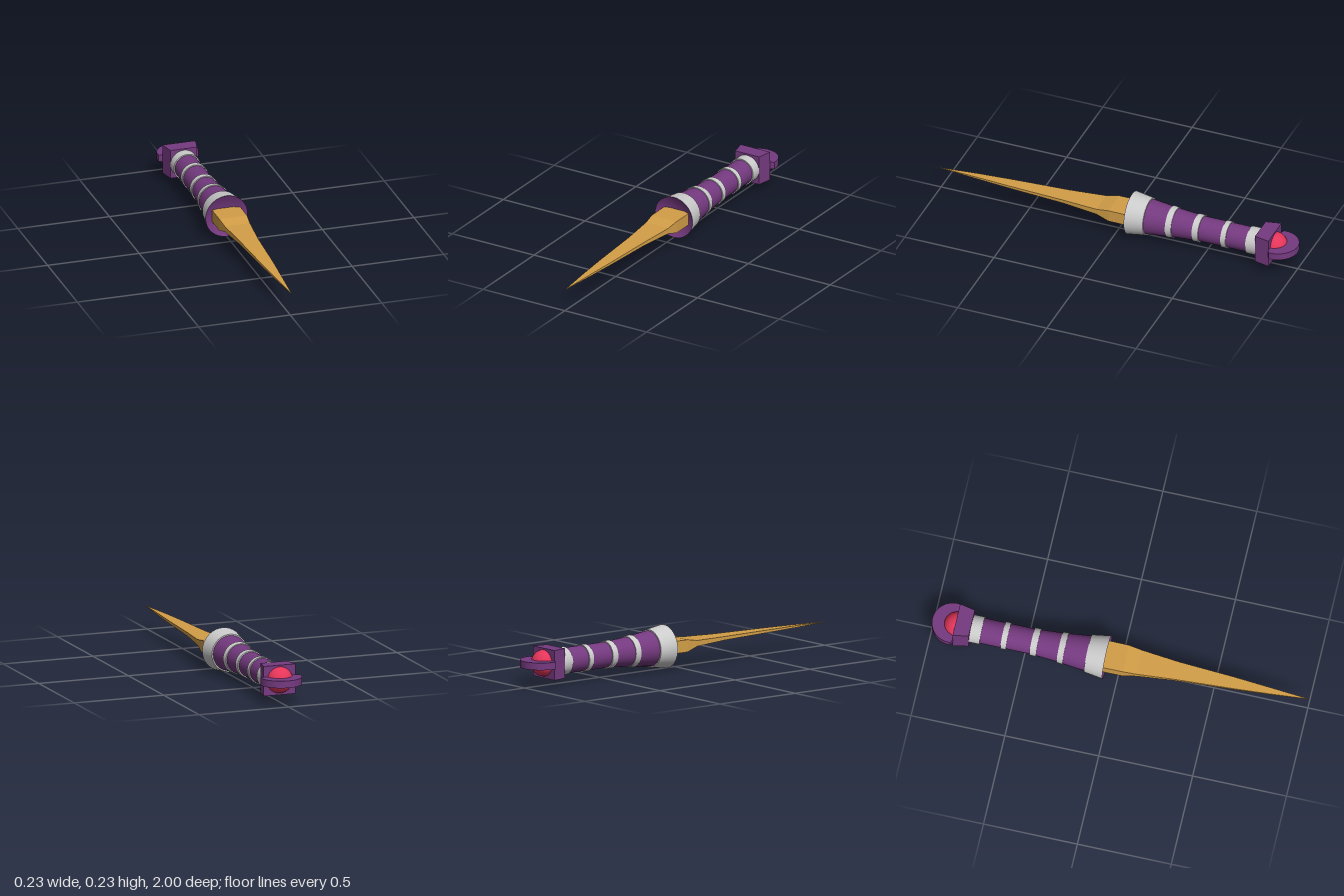
import * as THREE from 'three';
import { toCreasedNormals } from 'three/addons/utils/BufferGeometryUtils.js';

const AXIS_Y = 0.117;
const material = (color, flatShading = false) => new THREE.MeshStandardMaterial({ color, flatShading });

// Turned part along z; profile points are [radius, z], running from back to front.
function turned(profile) {
  const geo = new THREE.LatheGeometry(profile.map(([r, z]) => new THREE.Vector2(r, z)), 36);
  geo.rotateX(Math.PI / 2);
  return toCreasedNormals(geo, 0.5);
}

// Closed solid through rectangular sections [z, x0, x1, y0, y1], from back to front.
function rectLoft(sections) {
  const pos = [];
  const index = [];
  for (const [z, x0, x1, y0, y1] of sections) {
    pos.push(x0, y0, z, x1, y0, z, x1, y1, z, x0, y1, z);
  }
  for (let s = 0; s < sections.length - 1; s++) {
    for (let i = 0; i < 4; i++) {
      const a = s * 4 + i, b = s * 4 + (i + 1) % 4;
      index.push(a, b, b + 4, a, b + 4, a + 4);
    }
  }
  const e = (sections.length - 1) * 4;
  index.push(0, 2, 1, 0, 3, 2, e, e + 1, e + 2, e, e + 2, e + 3);
  const geo = new THREE.BufferGeometry();
  geo.setAttribute('position', new THREE.Float32BufferAttribute(pos, 3));
  geo.setIndex(index);
  const flat = geo.toNonIndexed();
  flat.computeVertexNormals();
  return flat;
}

export function createModel() {
  const model = new THREE.Group();
  model.name = 'dagger';
  const purple = material(0x753a80);
  const purpleFlat = material(0x753a80, true);
  const grey = material(0xcccccc);
  const gold = material(0xd39f48, true);
  const red = material(0xe5365a);

  const add = (name, geo, mat, y = AXIS_Y, z = 0) => {
    const mesh = new THREE.Mesh(geo, mat);
    mesh.name = name;
    mesh.position.set(0, y, z);
    model.add(mesh);
    return mesh;
  };

  // Blade: thick block at the base, thinning to a long point
  add('blade', rectLoft([
    [-0.11, -0.073, 0.08, 0.086, 0.151],
    [0.03, -0.072, 0.079, 0.086, 0.151],
    [0.1, -0.065, 0.072, 0.107, 0.138],
    [0.3, -0.047, 0.053, 0.115, 0.134],
    [0.6, -0.029, 0.036, 0.118, 0.132],
    [0.8, -0.014, 0.021, 0.12, 0.13],
    [1, 0.004, 0.006, 0.124, 0.126],
  ]), gold, 0);

  // Guard collar with a dished purple front
  add('guard', turned([[0.085, -0.17], [0.1, -0.17], [0.115, -0.07]]), grey);
  add('guardDish', turned([[0.115, -0.07], [0.058, -0.1], [0, -0.1]]), purple);

  // Grip flaring towards the guard
  add('grip', turned([
    [0, -0.8], [0.067, -0.8], [0.067, -0.46], [0.077, -0.32], [0.094, -0.165],
  ]), purple);

  // Grip bands: back z, front z, back radius, front radius
  const bands = [
    [-0.32, -0.288, 0.081, 0.085],
    [-0.467, -0.433, 0.073, 0.074],
    [-0.622, -0.593, 0.072, 0.072],
    [-0.79, -0.733, 0.073, 0.073],
  ];
  bands.forEach(([z0, z1, r0, r1], i) => {
    add(`gripBand${i + 1}`, turned([[0.05, z0], [r0, z0], [r1, z1], [0.05, z1]]), grey);
  });

  // Pommel block, wider at the back
  add('pommelBlock', rectLoft([
    [-0.872, -0.09, 0.09, 0.04, 0.198],
    [-0.79, -0.073, 0.073, 0.04, 0.198],
  ]), purpleFlat, 0);

  // Gem half sunk into the block
  add('gem', new THREE.SphereGeometry(0.07, 32, 20), red, AXIS_Y + 0.003, -0.868);

  // Crescent around the gem, its opening against the block
  const shape = new THREE.Shape();
  shape.moveTo(0.086, -0.022);
  shape.lineTo(0.11, -0.01);
  shape.absarc(0, 0, 0.11, 0, Math.PI, false);
  shape.lineTo(-0.11, -0.01);
  shape.lineTo(-0.086, -0.022);
  shape.lineTo(-0.064, -0.022);
  shape.absarc(0, -0.02, 0.064, Math.PI, 0, true);
  shape.lineTo(0.064, -0.022);
  const crescent = new THREE.ExtrudeGeometry(shape, { depth: 0.038, bevelEnabled: false, curveSegments: 28 });
  crescent.rotateX(-Math.PI / 2);
  add('crescent', toCreasedNormals(crescent, 0.5), purple, 0.103, -0.89);

  return model;
}
